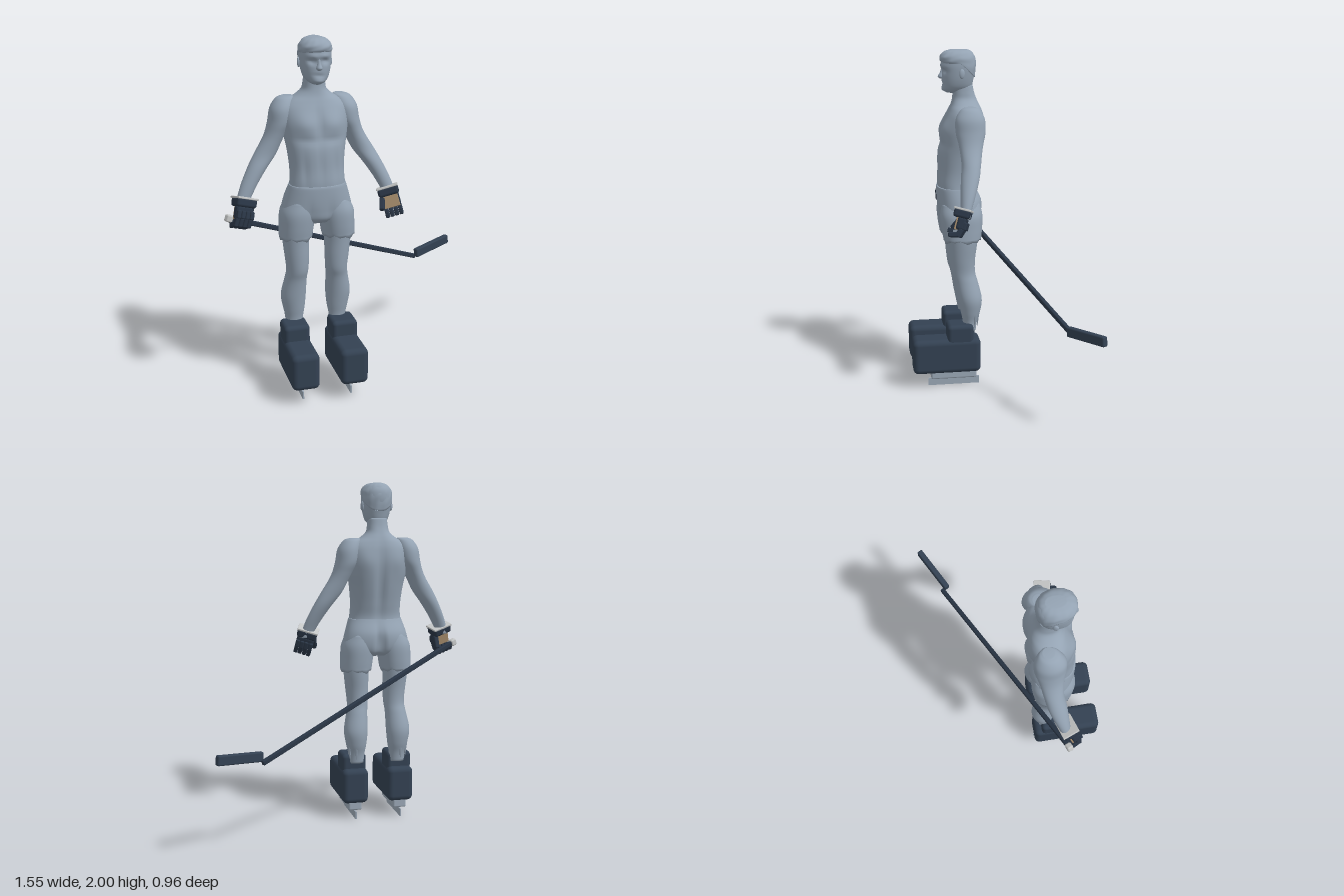
import * as THREE from 'three';
import { RoundedBoxGeometry } from 'three/addons/geometries/RoundedBoxGeometry.js';

const mat = (name, color) => Object.assign(new THREE.MeshStandardMaterial({ color }), { name });
const skin = mat('slate skin', 0x94a3b3);
const steel = mat('steel', 0x9aa7b5);
const navy = mat('dark slate', 0x334152);
const glove = mat('glove dark', 0x2a3646);
const trim = mat('glove trim', 0xc4c6c6);
const tan = mat('palm tan', 0xa68c6c);

const CX = -0.258; // body centre line
const bump = (x, y, w, h) => Math.exp(-((x / w) ** 2) - (y / h) ** 2);

function add(parent, name, geo, material, x = 0, y = 0, z = 0) {
  const m = new THREE.Mesh(geo, material);
  m.name = name;
  m.position.set(x, y, z);
  parent.add(m);
  return m;
}

// Smooth loft through horizontal rings, top to bottom: [y, centreX, radiusX, zFront, zBack]
function loft(rows, { power = 2, tweak, sides = 40, steps = 5 } = {}) {
  const c1 = new THREE.CatmullRomCurve3(rows.map(r => new THREE.Vector3(r[0], r[1], r[2])), false, 'catmullrom');
  const c2 = new THREE.CatmullRomCurve3(rows.map(r => new THREE.Vector3(r[0], r[3], r[4])), false, 'catmullrom');
  const n = (rows.length - 1) * steps, pos = [], idx = [];
  const round = v => Math.sign(v) * Math.abs(v) ** (2 / power);
  for (let i = 0; i <= n; i++) {
    const p = c1.getPoint(i / n), q = c2.getPoint(i / n);
    for (let j = 0; j < sides; j++) {
      const a = (j / sides) * Math.PI * 2;
      const v = new THREE.Vector3(p.y + p.z * round(Math.cos(a)), p.x,
        (q.y + q.z) / 2 + ((q.y - q.z) / 2) * round(Math.sin(a)));
      if (tweak) tweak(v, Math.sin(a), a, i / n);
      pos.push(v.x, v.y, v.z);
      if (i < n) {
        const k = i * sides + j, m = i * sides + (j + 1) % sides;
        idx.push(k, m, k + sides, m, m + sides, k + sides);
      }
    }
  }
  // close both ends
  for (const [i, top] of [[0, true], [n, false]]) {
    const p = c1.getPoint(i / n), q = c2.getPoint(i / n), c = pos.length / 3;
    pos.push(p.y, p.x, (q.y + q.z) / 2);
    for (let j = 0; j < sides; j++) {
      const k = i * sides + j, m = i * sides + (j + 1) % sides;
      idx.push(c, top ? m : k, top ? k : m);
    }
  }
  const g = new THREE.BufferGeometry();
  g.setAttribute('position', new THREE.Float32BufferAttribute(pos, 3));
  g.setIndex(idx);
  g.computeVertexNormals();
  return g;
}

// Square bar running from a to b
function beam(parent, name, a, b, w, h, material) {
  const A = new THREE.Vector3(...a), B = new THREE.Vector3(...b);
  const m = add(parent, name, new RoundedBoxGeometry(w, h, A.distanceTo(B), 2, Math.min(w, h) * 0.25), material);
  m.position.copy(A).lerp(B, 0.5);
  m.lookAt(B);
}

function makeHead(body) {
  add(body, 'head', loft([
    [2.0, 0, 0.025, 0.215, 0.13], [1.987, 0, 0.058, 0.25, 0.1], [1.96, 0, 0.08, 0.272, 0.08],
    [1.92, 0, 0.086, 0.277, 0.075], [1.88, 0, 0.085, 0.275, 0.08], [1.83, 0, 0.078, 0.274, 0.09],
    [1.79, 0, 0.065, 0.272, 0.1], [1.768, 0, 0.046, 0.266, 0.12], [1.755, 0, 0.025, 0.245, 0.15]],
  { power: 2.2, tweak: (v, s) => {
    if (s < 0.1) return;
    const x = Math.abs(v.x);
    v.z -= 0.016 * bump(x - 0.036, v.y - 1.882, 0.02, 0.014); // eye sockets
    v.z += 0.006 * bump(x - 0.03, v.y - 1.91, 0.035, 0.012); // brow
    v.z -= 0.007 * bump(x, v.y - 1.808, 0.028, 0.006); // mouth
    v.z += 0.006 * bump(x, v.y - 1.778, 0.03, 0.012); // chin
  } }), skin);
  add(body, 'nose', loft([
    [1.895, 0, 0.008, 0.276, 0.25], [1.87, 0, 0.011, 0.285, 0.25],
    [1.848, 0, 0.017, 0.297, 0.25], [1.836, 0, 0.012, 0.285, 0.25]], { sides: 14 }), skin);
  // hair: wavy cap, dropping to the nape
  add(body, 'hair', loft([
    [2.002, 0, 0.03, 0.225, 0.125], [1.99, 0, 0.063, 0.26, 0.095], [1.965, 0, 0.085, 0.283, 0.075],
    [1.94, 0, 0.09, 0.283, 0.071], [1.925, 0, 0.089, 0.27, 0.074]],
  { power: 2.2, sides: 64, tweak: (v, s, a, t) => {
    const w = 1 + 0.022 * Math.sin(a * 9 + v.y * 120) * Math.sin(a * 4 - v.y * 70);
    v.x *= w;
    v.z = 0.175 + (v.z - 0.175) * w;
    if (s < 0) { v.y += s * t * t * 0.085; v.z += t * t * 0.01 * -s; }
  } }), skin);
  for (const s of [-1, 1]) {
    const ear = add(body, 'ear', new THREE.SphereGeometry(0.026, 14, 10), skin, s * 0.086, 1.868, 0.165);
    ear.scale.set(0.35, 1.1, 0.65);
    ear.rotation.y = s * 0.3;
  }
}

function makeTorso(body) {
  add(body, 'torso', loft([
    [1.8, 0, 0.056, 0.215, 0.095], [1.755, 0, 0.06, 0.212, 0.085], [1.72, 0, 0.068, 0.215, 0.072],
    [1.69, 0, 0.1, 0.222, 0.058], [1.66, 0, 0.15, 0.235, 0.046], [1.62, 0, 0.18, 0.252, 0.036],
    [1.55, 0, 0.183, 0.275, 0.03], [1.48, 0, 0.175, 0.288, 0.035], [1.4, 0, 0.16, 0.303, 0.05],
    [1.3, 0, 0.15, 0.305, 0.075], [1.22, 0, 0.153, 0.308, 0.092], [1.15, 0, 0.165, 0.3, 0.08]],
  { power: 2.25, sides: 64, tweak: (v, s) => {
    const x = Math.abs(v.x);
    if (s > 0) {
      v.z += s * 0.02 * bump(x - 0.085, v.y - 1.55, 0.065, 0.06); // chest
      v.z -= s * 0.01 * bump(x, v.y - 1.54, 0.02, 0.09);
      v.z -= s * 0.007 * bump(x - 0.07, v.y - 1.46, 0.08, 0.02);
      v.z -= s * 0.006 * bump(x, v.y - 1.33, 0.012, 0.1); // abdomen line
      v.z -= s * 0.008 * bump(x - 0.085, v.y - 1.3, 0.016, 0.1);
    } else {
      v.z -= s * 0.02 * bump(x, v.y - 1.42, 0.025, 0.2); // spine
      v.z += s * 0.012 * bump(x - 0.1, v.y - 1.56, 0.05, 0.07); // shoulder blades
    }
  } }), skin);
}

function makeShorts(body) {
  add(body, 'shortsSeat', loft([
    [1.208, 0, 0.157, 0.312, 0.088], [1.19, 0, 0.163, 0.314, 0.08], [1.13, 0, 0.182, 0.312, 0.052],
    [1.07, 0, 0.196, 0.306, 0.05], [1.02, 0, 0.195, 0.295, 0.065], [0.99, 0, 0.15, 0.26, 0.1]],
  { power: 2.3, sides: 56, tweak: (v, s) => {
    const x = Math.abs(v.x);
    if (s < 0) v.z -= s * 0.035 * bump(x, v.y - 1.07, 0.018, 0.09); // seat cleft
    else v.z -= s * 0.012 * bump(x - 0.06, v.y - 1.02, 0.02, 0.08);
  } }), skin);
  for (const s of [-1, 1]) add(body, 'shortsLeg', loft([
    [1.12, s * 0.095, 0.075, 0.29, 0.07], [1.05, s * 0.108, 0.097, 0.303, 0.055],
    [0.97, s * 0.116, 0.095, 0.297, 0.058], [0.9, s * 0.122, 0.091, 0.285, 0.066]],
  { power: 2.2, tweak: (v, sn, a, t) => {
    if (t > 0.99) v.y += 0.012 * Math.sin(a * 7) * Math.cos(a * 3); // ragged hem
  } }), skin);
}

function makeLimbs(body) {
  for (const s of [-1, 1]) {
    add(body, 'leg', loft([
      [0.98, s * 0.12, 0.08, 0.27, 0.08], [0.88, s * 0.12, 0.074, 0.258, 0.087],
      [0.78, s * 0.115, 0.068, 0.25, 0.1], [0.7, s * 0.113, 0.062, 0.24, 0.1],
      [0.64, s * 0.12, 0.063, 0.222, 0.085], [0.54, s * 0.13, 0.071, 0.205, 0.063],
      [0.46, s * 0.128, 0.062, 0.19, 0.072], [0.4, s * 0.126, 0.05, 0.178, 0.09],
      [0.34, s * 0.126, 0.045, 0.175, 0.1]]), skin);
    // torn strands at the ankle
    for (const [dx, z] of [[0.045, 0.11], [0.01, 0.09]]) {
      const strand = add(body, 'ankleStrand', new THREE.ConeGeometry(0.013, 0.09, 6), skin, s * (0.126 + dx), 0.405, z);
      strand.rotation.x = Math.PI;
    }
    add(body, 'arm', loft([
      [1.685, s * 0.145, 0.03, 0.155, 0.095], [1.67, s * 0.158, 0.05, 0.185, 0.07],
      [1.62, s * 0.175, 0.066, 0.215, 0.047], [1.55, s * 0.188, 0.066, 0.217, 0.045],
      [1.49, s * 0.213, 0.058, 0.205, 0.06], [1.44, s * 0.238, 0.057, 0.198, 0.072],
      [1.37, s * 0.277, 0.061, 0.195, 0.085], [1.3, s * 0.323, 0.054, 0.205, 0.1],
      [1.22, s * 0.37, 0.046, 0.212, 0.128], [1.15, s * 0.403, 0.039, 0.217, 0.153],
      [1.1, s * 0.42, 0.034, 0.22, 0.165]]), skin);
  }
}

// Glove hanging from the wrist: back of hand +z, palm -z
function makeGlove(root, name, side) {
  const g = new THREE.Group();
  g.name = name;
  const box = (n, w, h, d, m, x, y, z) => add(g, n, new RoundedBoxGeometry(w, h, d, 2, Math.min(w, h, d) * 0.3), m, x, y, z);
  box('cuff', 0.118, 0.05, 0.092, glove, 0, 0, 0);
  box('cuffTrim', 0.124, 0.012, 0.098, trim, 0, 0.024, 0);
  box('handBack', 0.104, 0.075, 0.05, glove, 0, -0.055, 0.01);
  box('palm', 0.09, 0.072, 0.009, tan, 0, -0.058, -0.018);
  for (let i = 0; i < 4; i++) {
    const x = -0.039 + i * 0.026;
    box('knucklePad', 0.024, 0.045, 0.022, glove, x, -0.066, 0.034);
    box('fingerBase', 0.024, 0.052, 0.032, glove, x, -0.106, 0.014).rotation.x = 0.3;
    box('fingerTip', 0.024, 0.028, 0.055, glove, x, -0.125, -0.018).rotation.x = -0.25;
    box('fingerPad', 0.02, 0.026, 0.018, glove, x, -0.106, -0.046);
  }
  const thumb = box('thumb', 0.03, 0.075, 0.032, glove, 0.052, -0.06, -0.03);
  thumb.rotation.set(0.5, 0, 0.25);
  const right = side < 0;
  g.position.set(CX + side * 0.408, 1.125, 0.205);
  g.rotation.set(right ? -0.3 : 0.3, right ? 0.25 : Math.PI - 0.25, side * 0.3, 'ZYX');
  root.add(g);
}

function makeSkate(root, name, x) {
  const g = new THREE.Group();
  g.name = name;
  g.position.x = x;
  add(g, 'boot', new RoundedBoxGeometry(0.157, 0.21, 0.405, 4, 0.032), navy, 0, 0.2, 0.281);
  add(g, 'bootCollar', new RoundedBoxGeometry(0.146, 0.2, 0.155, 4, 0.024), navy, 0, 0.292, 0.198);
  add(g, 'bladeHolder', new RoundedBoxGeometry(0.08, 0.055, 0.275, 2, 0.01), steel, 0, 0.077, 0.238);
  add(g, 'skateBlade', new THREE.BoxGeometry(0.008, 0.045, 0.31), steel, 0, 0.0225, 0.236);
  root.add(g);
}

export function createModel() {
  const root = new THREE.Group();
  root.name = 'hockeyPlayer';
  const body = new THREE.Group();
  body.name = 'body';
  body.position.x = CX;
  root.add(body);
  makeHead(body);
  makeTorso(body);
  makeShorts(body);
  makeLimbs(body);
  makeGlove(root, 'rightGlove', -1);
  makeGlove(root, 'leftGlove', 1);
  makeSkate(root, 'rightSkate', -0.397);
  makeSkate(root, 'leftSkate', -0.119);
  // stick
  beam(root, 'stickShaft', [-0.74, 1.037, 0.195], [0.512, 0.5, -0.36], 0.026, 0.028, glove);
  beam(root, 'stickButt', [-0.768, 1.049, 0.207], [-0.735, 1.035, 0.193], 0.036, 0.04, trim);
  beam(root, 'stickBlade', [0.508, 0.53, -0.328], [0.77, 0.557, -0.468], 0.034, 0.056, navy);
  return root;
}
